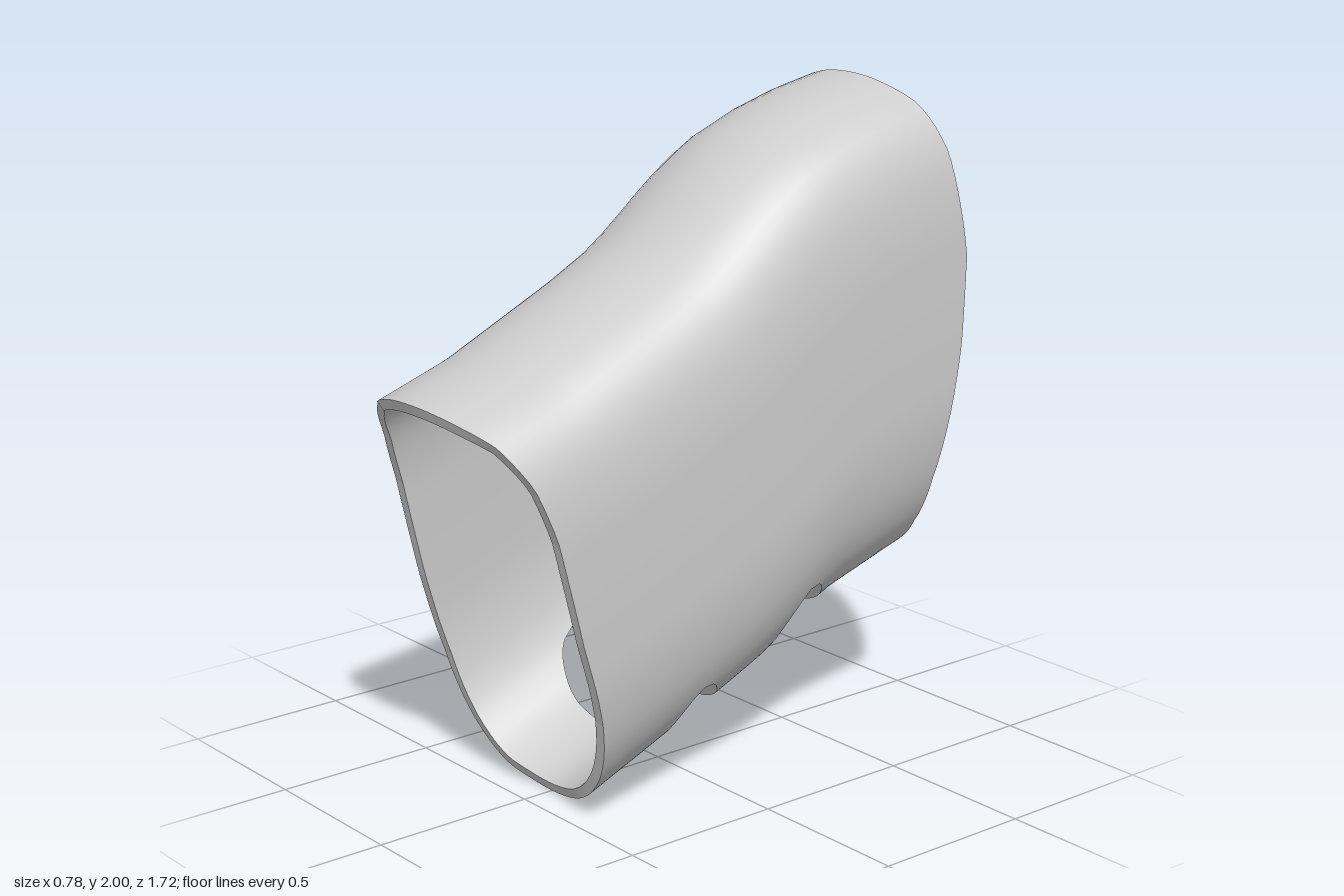
import * as THREE from 'three';

const WALL = 0.033;

// Half cross-section as [x, height fraction], bottom to top
const HALF = [[0, 0], [0.13, 0.02], [0.22, 0.055], [0.28, 0.1], [0.322, 0.148], [0.36, 0.22], [0.388, 0.34], [0.392, 0.48],
  [0.39, 0.62], [0.382, 0.76], [0.35, 0.87], [0.28, 0.945], [0.14, 0.988], [0, 1]];

// Side outlines: z of the two open ends by height, y of top and bottom by length
const FRONT_Z = [[0, 0.4], [0.03, 0.43], [0.11, 0.455], [0.28, 0.505], [0.48, 0.58], [0.735, 0.66], [0.855, 0.715], [0.945, 0.785], [1, 0.86]];
const BACK_Z = [[0, -0.81], [0.1, -0.78], [0.2, -0.78], [0.33, -0.81], [0.47, -0.845], [0.66, -0.86], [0.87, -0.805], [0.965, -0.76], [1, -0.73]];
const TOP_Y = [[0, 1.25], [0.15, 1.33], [0.38, 1.5], [0.48, 1.585], [0.54, 1.66], [0.62, 1.765], [0.71, 1.86], [0.82, 1.93], [0.92, 1.975], [1, 2]];
const BOTTOM_Y = [[0, 0], [0.2, 0.1], [0.405, 0.2], [0.53, 0.265], [0.735, 0.41], [1, 0.51]];

// Slots across the underside
const SLOT_CENTRES = [0.3025, 0.6325], SLOT_HALF = 0.1025, SLOT_TOP = 0.148;

function lookup(table, t) {
  let i = 1;
  while (i < table.length - 1 && table[i][0] < t) i++;
  const [a, va] = table[i - 1], [b, vb] = table[i];
  return va + (vb - va) * (t - a) / (b - a);
}

const ringPoints = [...HALF, ...HALF.slice(1, -1).reverse().map(([x, h]) => [-x, h])];
const ring = new THREE.CatmullRomCurve3(ringPoints.map(([x, h]) => new THREE.Vector3(x, h, 0)), true);
const ringAt = (u) => ring.getPoint(((u % 1) + 1) % 1);

// Outer surface: u goes round the section, v from front to back
function surface(u, v) {
  const p = ringAt(u), h = THREE.MathUtils.clamp(p.y, 0, 1);
  return new THREE.Vector3(p.x,
    THREE.MathUtils.lerp(lookup(BOTTOM_Y, v), lookup(TOP_Y, v), h),
    THREE.MathUtils.lerp(lookup(FRONT_Z, h), lookup(BACK_Z, h), v));
}

function surfaceNormal(u, v) {
  const du = surface(u + 0.01, v).sub(surface(u - 0.01, v));
  const dv = surface(u, Math.min(1, v + 0.04)).sub(surface(u, Math.max(0, v - 0.04)));
  return dv.cross(du).normalize();
}

function slotWidth(u) {
  const r = 1 - ringAt(u).y / SLOT_TOP;
  return r > 1e-4 ? SLOT_HALF * Math.sqrt(Math.min(1, r)) : 0;
}

// One band of shell between v limits that vary round the section
function addBand(group, name, start, end, startIsSlot, endIsSlot, material) {
  const nu = ringPoints.length * 4, nv = 8;
  const outer = [], inner = [], normals = [], innerNormals = [], index = [];
  for (let i = 0; i <= nu; i++) {
    const u = i / nu, a = start(u), b = end(u);
    for (let j = 0; j <= nv; j++) {
      const v = a + (b - a) * j / nv;
      const p = surface(u, v), n = surfaceNormal(u, v);
      outer.push(p);
      inner.push(p.clone().addScaledVector(n, -WALL));
      normals.push(n);
      innerNormals.push(n.clone().negate());
    }
  }
  const at = (i, j) => i * (nv + 1) + j, count = outer.length;
  for (let i = 0; i < nu; i++) {
    for (let j = 0; j < nv; j++) {
      const a = at(i, j), b = at(i, j + 1), c = at(i + 1, j + 1), d = at(i + 1, j);
      index.push(a, b, c, a, c, d);
      index.push(a + count, c + count, b + count, a + count, d + count, c + count);
    }
  }
  const flat = (list) => new Float32Array(list.flatMap((p) => [p.x, p.y, p.z]));
  const shell = new THREE.BufferGeometry();
  shell.setAttribute('position', new THREE.BufferAttribute(flat([...outer, ...inner]), 3));
  shell.setAttribute('normal', new THREE.BufferAttribute(flat([...normals, ...innerNormals]), 3));
  shell.setIndex(index);
  const shellMesh = new THREE.Mesh(shell, material);
  shellMesh.name = name;
  group.add(shellMesh);

  // Cut edges joining the outer and inner walls
  const edge = [];
  const addEdge = (j, isSlot, flip) => {
    for (let i = 0; i < nu; i++) {
      if (isSlot && !slotWidth(i / nu) && !slotWidth((i + 1) / nu)) continue;
      const a = outer[at(i, j)], b = outer[at(i + 1, j)], c = inner[at(i + 1, j)], d = inner[at(i, j)];
      edge.push(...(flip ? [a, c, b, a, d, c] : [a, b, c, a, c, d]));
    }
  };
  addEdge(0, startIsSlot, false);
  addEdge(nv, endIsSlot, true);
  const rim = new THREE.BufferGeometry();
  rim.setAttribute('position', new THREE.BufferAttribute(flat(edge), 3));
  rim.computeVertexNormals();
  const rimMesh = new THREE.Mesh(rim, material);
  rimMesh.name = name + 'Rim';
  group.add(rimMesh);
}

export function createModel() {
  const group = new THREE.Group();
  group.name = 'slottedSleeve';
  const material = new THREE.MeshStandardMaterial({ color: 0xcccccc });
  const [c1, c2] = SLOT_CENTRES;
  addBand(group, 'frontSleeve', () => 0, (u) => c1 - slotWidth(u), false, true, material);
  addBand(group, 'middleSleeve', (u) => c1 + slotWidth(u), (u) => c2 - slotWidth(u), true, true, material);
  addBand(group, 'backSleeve', (u) => c2 + slotWidth(u), () => 1, true, false, material);
  return group;
}
